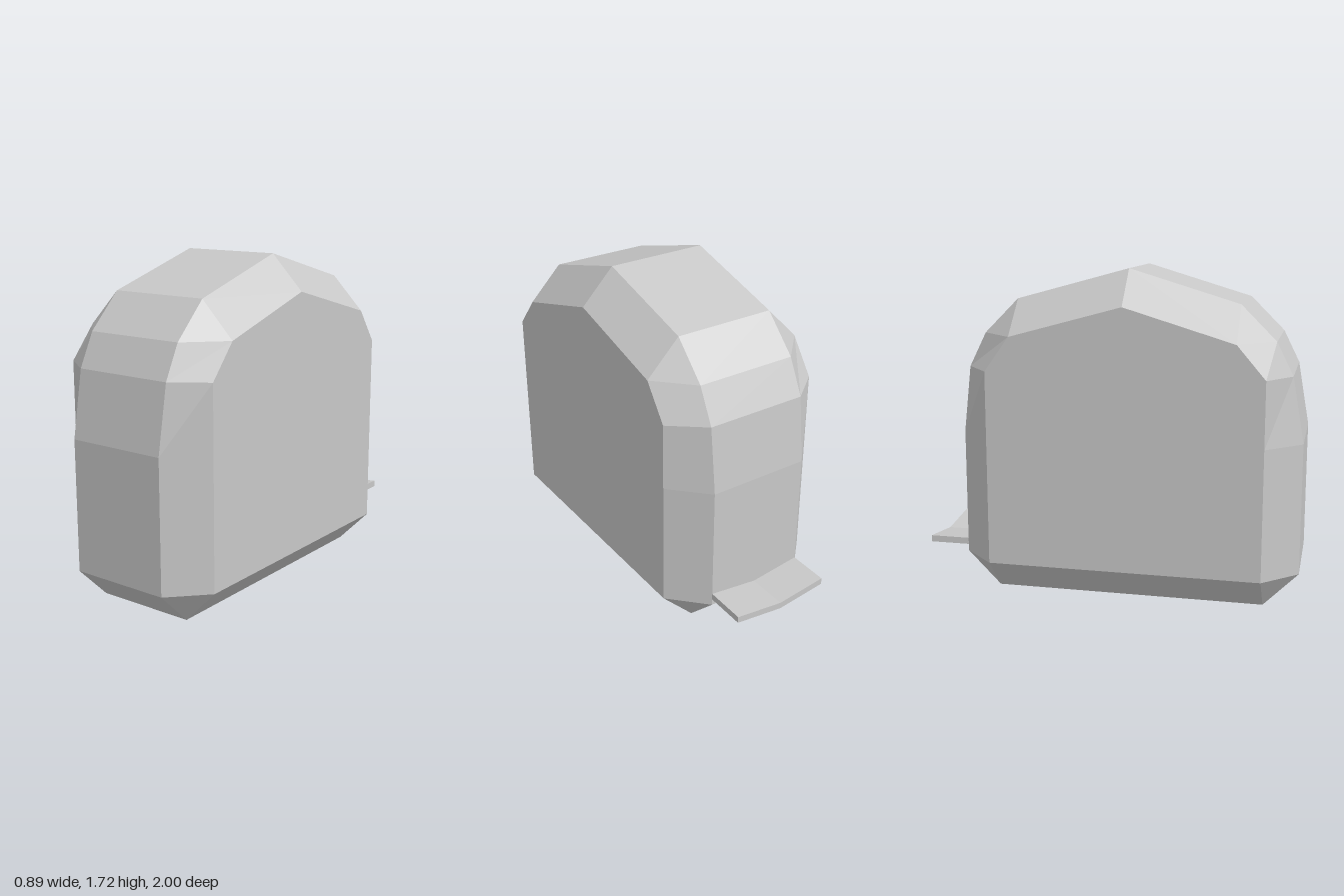
import * as THREE from 'three';

const OUTER_X = 0.27, SIDE_X = 0.445;

// Loop running up the front, over the top and down the back:
// [rim z, rim y, side panel z, side panel y]
const PROFILE = [
  [0.82, 0, 0.82, 0.18],
  [1, 0.18, 0.82, 0.18],
  [1, 0.86, 0.82, 0.86],
  [0.94, 1.2, 0.82, 1.2],
  [0.855, 1.37, 0.675, 1.37],
  [0.675, 1.55, 0.675, 1.37],
  [0.11, 1.72, 0.11, 1.54],
  [-0.475, 1.56, -0.475, 1.38],
  [-0.655, 1.38, -0.475, 1.38],
  [-0.745, 1.2, -0.605, 1.2],
  [-0.785, 0.85, -0.605, 0.85],
  [-0.785, 0.18, -0.605, 0.18],
  [-0.605, 0, -0.605, 0.18],
];

function bodyGeometry() {
  const positions = [];
  const tri = (a, b, c) => {
    const ab = new THREE.Vector3().subVectors(b, a);
    const ac = new THREE.Vector3().subVectors(c, a);
    if (ab.cross(ac).lengthSq() > 1e-10) positions.push(...a, ...b, ...c);
  };
  // Each profile point gives a row across the body: side, rim, rim, side
  const rows = PROFILE.map(([oz, oy, iz, iy]) => [
    new THREE.Vector3(-SIDE_X, iy, iz),
    new THREE.Vector3(-OUTER_X, oy, oz),
    new THREE.Vector3(OUTER_X, oy, oz),
    new THREE.Vector3(SIDE_X, iy, iz),
  ]);
  const rightCentre = new THREE.Vector3(SIDE_X, 0.7, 0.11);
  const leftCentre = new THREE.Vector3(-SIDE_X, 0.7, 0.11);
  rows.forEach((row, i) => {
    const next = rows[(i + 1) % rows.length];
    // Central band and the bevels on both sides
    for (let k = 0; k < 3; k++) {
      tri(row[k], row[k + 1], next[k + 1]);
      tri(row[k], next[k + 1], next[k]);
    }
    // Flat side panels
    tri(rightCentre, next[3], row[3]);
    tri(leftCentre, row[0], next[0]);
  });
  const geometry = new THREE.BufferGeometry();
  geometry.setAttribute('position', new THREE.Float32BufferAttribute(positions, 3));
  geometry.computeVertexNormals();
  return geometry;
}

// Shallow V-shaped plate sticking out of the back
function tabGeometry() {
  const shape = new THREE.Shape([
    [-OUTER_X, 0.215], [0, 0.18], [OUTER_X, 0.215],
    [OUTER_X, 0.25], [0, 0.215], [-OUTER_X, 0.25],
  ].map(([x, y]) => new THREE.Vector2(x, y)));
  return new THREE.ExtrudeGeometry(shape, { depth: 0.215, bevelEnabled: false })
    .translate(0, 0, -1);
}

export function createModel() {
  const grey = new THREE.MeshStandardMaterial({ color: 0xc8c8c8 });
  grey.name = 'light grey';
  grey.flatShading = true;

  const group = new THREE.Group();
  group.name = 'bevelledPack';
  const add = (name, geometry) => {
    const mesh = new THREE.Mesh(geometry, grey);
    mesh.name = name;
    group.add(mesh);
  };
  add('body', bodyGeometry());
  add('rearTab', tabGeometry());
  return group;
}
